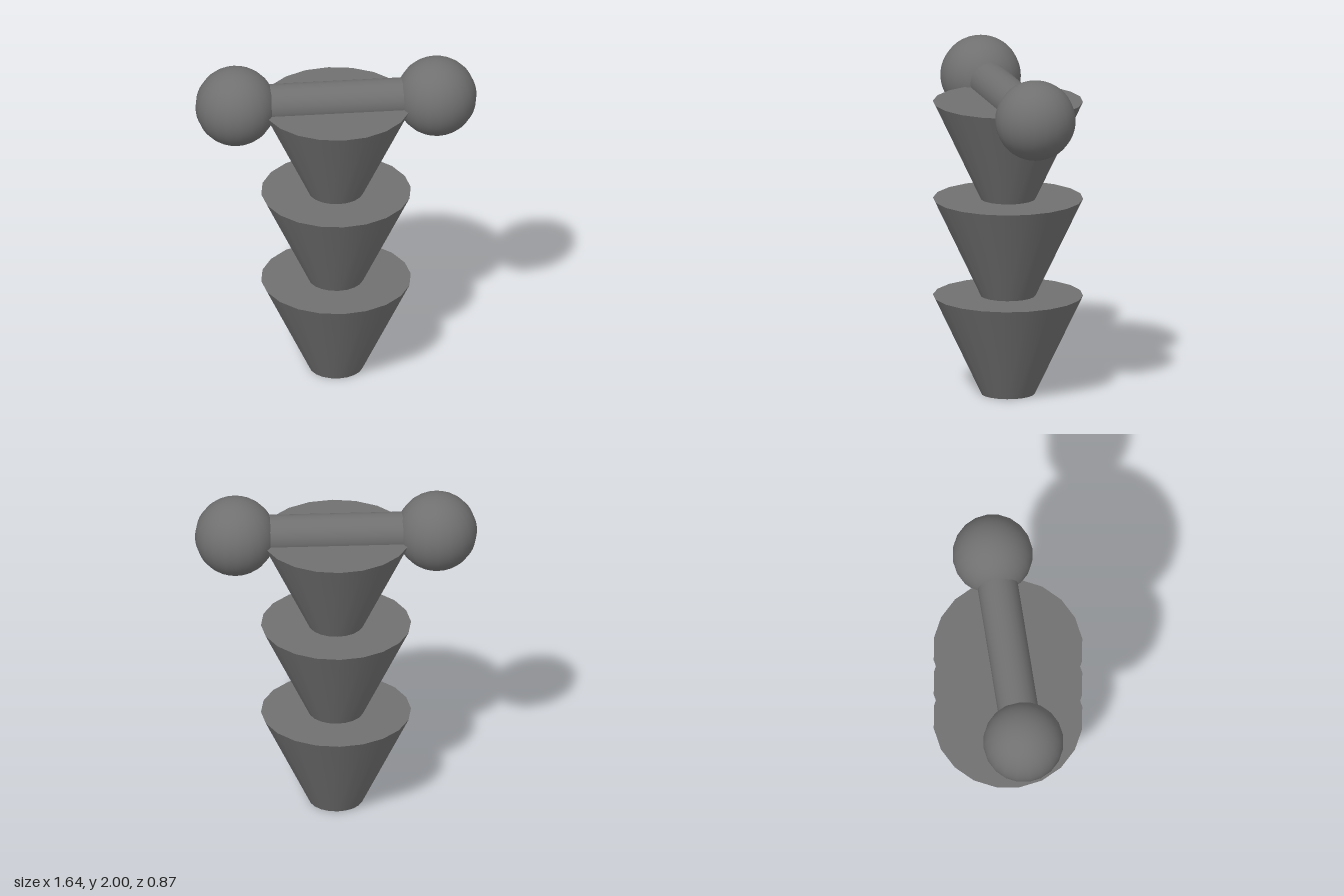
import * as THREE from 'three';

export function createModel() {
  const model = new THREE.Group();
  const material = new THREE.MeshStandardMaterial({ color: 0x707070 });
  const SIDES = 20;

  function add(name, geometry, x, y) {
    const mesh = new THREE.Mesh(geometry, material);
    mesh.name = name;
    mesh.position.set(x, y, 0);
    model.add(mesh);
  }

  // Three stacked tapered tiers, wide end up, each sunk slightly into the one below
  const tierHeight = 0.587;
  const tierSpacing = 0.579;
  const tier = new THREE.CylinderGeometry(0.437, 0.157, tierHeight, SIDES);
  ['lowerTier', 'middleTier', 'upperTier'].forEach((name, i) => {
    add(name, tier, 0, tierHeight / 2 + tierSpacing * i);
  });

  // Crossbar lying half sunk in the top tier
  const barY = 1.766;
  const reach = 0.587;
  const bar = new THREE.CylinderGeometry(0.118, 0.118, reach * 2, SIDES);
  add('crossbar', bar.rotateZ(Math.PI / 2), 0, barY);

  // Ball on each end of the bar
  const ball = new THREE.SphereGeometry(0.234, SIDES, 40);
  add('leftBall', ball, reach, barY);
  add('rightBall', ball, -reach, barY);

  return model;
}
